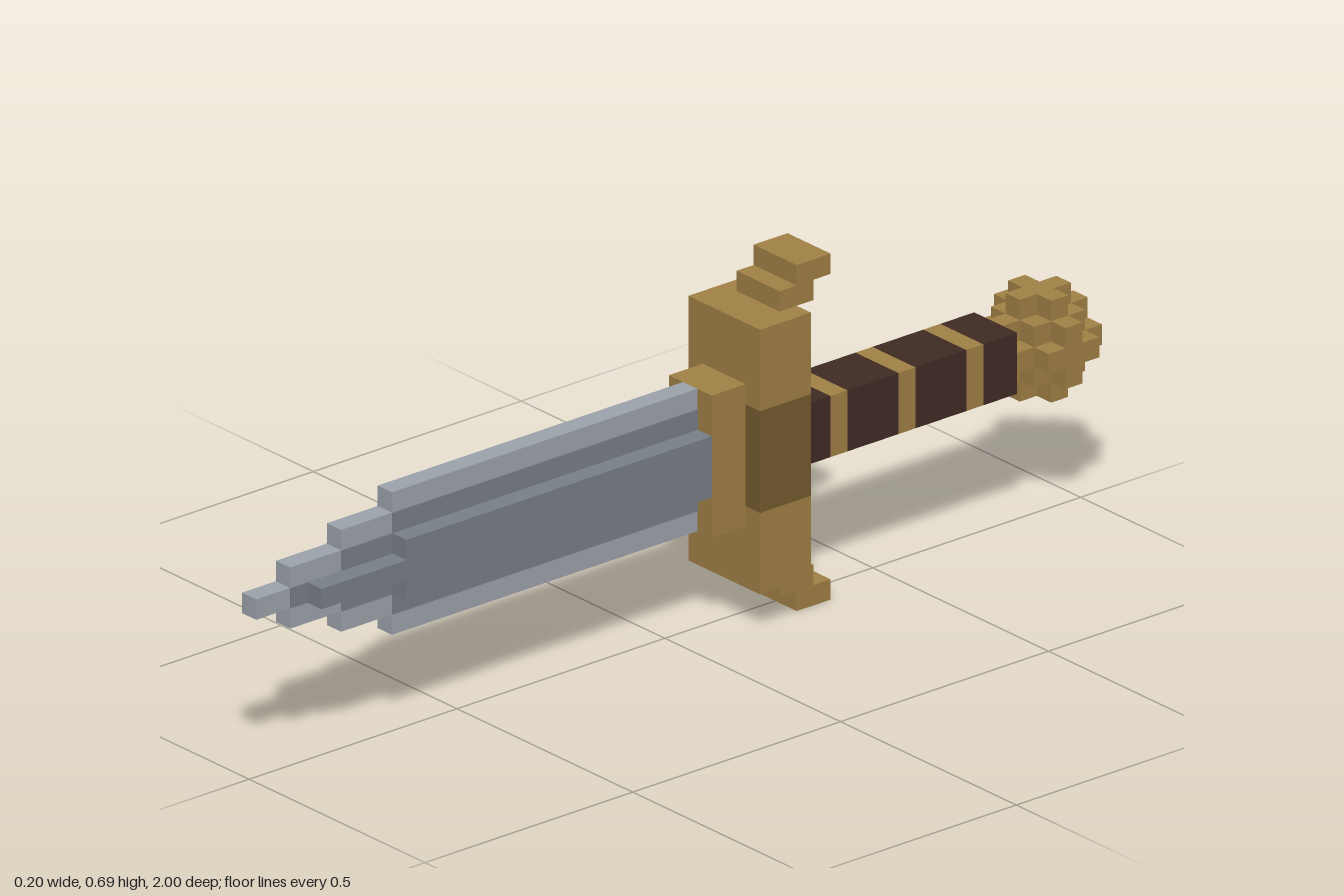
import * as THREE from 'three';
import { mergeGeometries } from 'three/addons/utils/BufferGeometryUtils.js';

const U = 2 / 49;      // size of one block
const MID = 8.5 * U;   // height of the sword's axis

const paint = (name, color) => {
  const m = new THREE.MeshStandardMaterial({ color });
  m.name = name;
  return m;
};

export function createModel() {
  const gold = paint('gold', 0xa28146);
  const darkGold = paint('darkGold', 0x755b2e);
  const steel = paint('steel', 0x9ea4ac);
  const darkSteel = paint('darkSteel', 0x7a8088);
  const leather = paint('leather', 0x402b24);

  const group = new THREE.Group();
  group.name = 'sword';

  const add = (name, geometry, material) => {
    const mesh = new THREE.Mesh(geometry, material);
    mesh.name = name;
    mesh.position.y = MID;
    group.add(mesh);
    return mesh;
  };

  // Box in block units, given by width and its y and z ranges
  const block = (name, width, y0, y1, z0, z1, material) => {
    const g = new THREE.BoxGeometry(width * U, (y1 - y0) * U, (z1 - z0) * U);
    g.translate(0, ((y0 + y1) / 2) * U, ((z0 + z1) / 2) * U);
    return add(name, g, material);
  };

  // Side outline of [z, y] points extruded across x
  const slab = (name, points, width, material) => {
    const shape = new THREE.Shape(points.map(([z, y]) => new THREE.Vector2(z * U, y * U)));
    const g = new THREE.ExtrudeGeometry(shape, { depth: width * U, bevelEnabled: false });
    g.translate(0, 0, (-width * U) / 2);
    g.rotateY(-Math.PI / 2);
    return add(name, g, material);
  };

  // Stepped blade outline from [end z, half height] pairs
  const stepped = (steps) => {
    const lower = [];
    let z = -1.5;
    for (const [end, half] of steps) {
      lower.push([z, -half], [end, -half]);
      z = end;
    }
    return [...lower, ...lower.map(([a, b]) => [a, -b]).reverse()];
  };

  // Blade: thin cutting edge, shaded band painted on it, thick core
  slab('bladeEdge', stepped([[16.5, 3.5], [19.5, 2.5], [22.5, 1.5], [24.5, 0.5]]), 1, steel);
  slab('bladeShade', stepped([[16.5, 2.5], [19.5, 1.5], [22.5, 0.5]]), 1.08, darkSteel);
  slab('bladeCore', stepped([[16.5, 1.5], [21.5, 0.5]]), 3, darkSteel);

  // Collar and crossguard
  block('collar', 3, -3.5, 3.5, -3.5, -1.5, gold);
  block('guardCentre', 5, -2.5, 2.5, -6.5, -3.5, darkGold);
  block('guardTop', 5, 2.5, 6.5, -6.5, -3.5, gold);
  block('guardBottom', 5, -6.5, -2.5, -6.5, -3.5, gold);

  // Stepped hooks sweeping back from both ends of the guard
  const hook = [[-5.5, 6.5], [-5.5, 7.5], [-6.5, 7.5], [-6.5, 8.5],
    [-8.5, 8.5], [-8.5, 7.5], [-7.5, 7.5], [-7.5, 6.5]];
  slab('guardHookTop', hook, 3, gold);
  slab('guardHookBottom', hook.map(([z, y]) => [z, -y]), 3, gold);

  // Grip: leather wraps separated by gold rings
  const cuts = [-6.5, -8.5, -9.5, -12.5, -13.5, -16.5, -17.5, -19.5];
  for (let i = 0; i < cuts.length - 1; i++) {
    const ring = i % 2 === 1;
    block(ring ? 'gripRing' : 'gripWrap', 3, -1.5, 1.5, cuts[i + 1], cuts[i], ring ? gold : leather);
  }

  // Pommel: ball of blocks, outer faces only
  const filled = (x, y, z) => x * x + y * y + z * z <= 5;
  const turns = [
    [[0, 0, 1], 0, 0], [[0, 0, -1], 0, Math.PI],
    [[1, 0, 0], 0, Math.PI / 2], [[-1, 0, 0], 0, -Math.PI / 2],
    [[0, 1, 0], -Math.PI / 2, 0], [[0, -1, 0], Math.PI / 2, 0],
  ];
  const faces = [];
  for (let x = -2; x <= 2; x++) for (let y = -2; y <= 2; y++) for (let z = -2; z <= 2; z++) {
    if (!filled(x, y, z)) continue;
    for (const [[dx, dy, dz], rx, ry] of turns) {
      if (filled(x + dx, y + dy, z + dz)) continue;
      const face = new THREE.PlaneGeometry(U, U);
      face.rotateX(rx).rotateY(ry);
      face.translate((x + dx / 2) * U, (y + dy / 2) * U, (z - 22 + dz / 2) * U);
      faces.push(face);
    }
  }
  add('pommel', mergeGeometries(faces), gold);

  return group;
}
